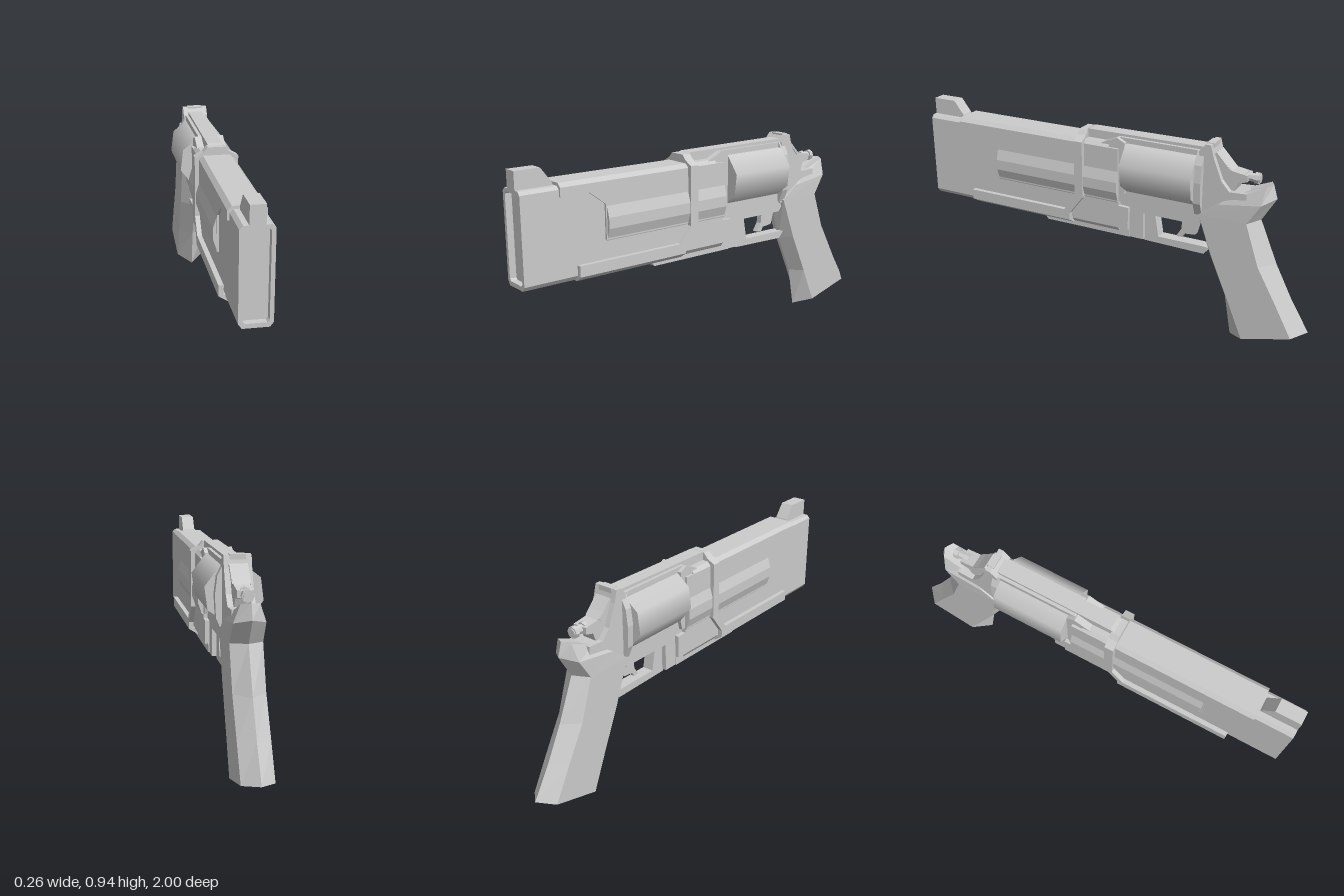
import * as THREE from 'three';

const material = new THREE.MeshStandardMaterial({ color: 0xcccccc, flatShading: true });
const smooth = new THREE.MeshStandardMaterial({ color: 0xcccccc });

export function createModel() {
  const model = new THREE.Group();

  function add(name, geometry, mat = material) {
    const mesh = new THREE.Mesh(geometry, mat);
    mesh.name = name;
    model.add(mesh);
    return mesh;
  }
  const toShape = pts => new THREE.Shape(pts.map(p => new THREE.Vector2(p[0], p[1])));
  const mirrored = half => [...half, ...half.map(([x, y]) => [-x, y]).reverse()];

  // Side profile of [z, y] points, extruded across x from x0 to x1
  function profile(name, pts, x0, x1) {
    const g = new THREE.ExtrudeGeometry(toShape(pts), { depth: x1 - x0, bevelEnabled: false });
    g.rotateY(-Math.PI / 2).translate(x1, 0, 0);
    return add(name, g);
  }
  const centred = (name, pts, w) => profile(name, pts, -w, w);
  function pair(name, pts, x0, x1) {
    profile(name + 'Left', pts, x0, x1);
    profile(name + 'Right', pts, -x1, -x0);
  }
  // Cross-section of [x, y] points, extruded along z from z0 to z1
  function section(name, pts, z0, z1, hole) {
    const shape = toShape(pts);
    if (hole) shape.holes.push(toShape(hole));
    const g = new THREE.ExtrudeGeometry(shape, { depth: z1 - z0, bevelEnabled: false });
    return add(name, g.translate(0, 0, z0));
  }

  // Barrel housing with a tall recessed muzzle
  const barrel = mirrored([[0.055, 0.435], [0.07, 0.455], [0.07, 0.84], [0.055, 0.855]]);
  const bore = mirrored([[0.045, 0.455], [0.053, 0.465], [0.053, 0.83], [0.042, 0.842]]);
  section('barrelHousing', barrel, -0.07, 0.97);
  section('muzzleRim', barrel, 0.97, 1, bore);
  centred('frontSight', [[1, 0.84], [1, 0.935], [0.88, 0.935], [0.83, 0.87], [0.82, 0.84]], 0.032);

  // Raised shell over the barrel
  section('topCover', mirrored([[0.08, 0.81], [0.08, 0.85], [0.062, 0.868]]), -0.02, 0.82);
  pair('sidePanel', [[0.82, 0.85], [0.82, 0.81], [0.68, 0.81], [0.6, 0.75], [0.6, 0.59],
    [-0.07, 0.59], [-0.07, 0.85]], 0.065, 0.08);
  section('sideBulge', mirrored([[0.076, 0.585], [0.095, 0.64], [0.095, 0.69], [0.08, 0.74]]), -0.07, 0.595);

  // Band around the barrel, running forward as lower rails
  pair('bandRail', [[0.15, 0.86], [0.15, 0.58], [0.21, 0.505], [0.75, 0.505], [0.75, 0.455],
    [0.18, 0.455], [0.18, 0.49], [0.107, 0.585], [0.107, 0.86]], 0.078, 0.1);
  section('bandTop', mirrored([[0.1, 0.845], [0.1, 0.86], [0.06, 0.882], [0.04, 0.905]]), 0.107, 0.15);
  section('railBridge', mirrored([[0.058, 0.428], [0.1, 0.455], [0.07, 0.46]]), 0.18, 0.745)
    .scale.y = 1;
  add('railCatch', new THREE.BoxGeometry(0.04, 0.02, 0.06)).position.set(0, 0.434, 0.715);

  // Underside lug, tapered at the front
  centred('underLug', [[0.36, 0.45], [0.33, 0.412], [-0.12, 0.412], [-0.12, 0.45]], 0.055);

  // Frame
  centred('lowerFrame', [[0.1, 0.6], [0.1, 0.45], [-0.12, 0.412], [-0.19, 0.412], [-0.19, 0.545],
    [-0.46, 0.545], [-0.5, 0.6], [-0.46, 0.64], [-0.07, 0.64]], 0.05);
  pair('lowerPanel', [[0.1, 0.575], [0.14, 0.5], [0.14, 0.455], [-0.12, 0.455], [-0.12, 0.565]], 0.04, 0.07);
  centred('frameFront', [[0.02, 0.6], [-0.09, 0.59], [-0.1, 0.63], [-0.1, 0.88], [-0.06, 0.9], [0.02, 0.865]], 0.068);
  centred('topStrap', [[0.14, 0.87], [0.14, 0.9], [0.1, 0.91], [-0.49, 0.915], [-0.49, 0.875], [-0.06, 0.87]], 0.035);
  pair('strapFlange', [[0, 0.86], [-0.07, 0.9], [-0.46, 0.9], [-0.46, 0.87], [-0.1, 0.87]], 0.03, 0.05);
  section('recoilShield', mirrored([[0.06, 0.6], [0.085, 0.66], [0.09, 0.76], [0.08, 0.84], [0.05, 0.9]]), -0.485, -0.45);
  centred('rearFrame', [[-0.46, 0.9], [-0.49, 0.935], [-0.515, 0.935], [-0.53, 0.88], [-0.57, 0.78],
    [-0.61, 0.735], [-0.69, 0.74], [-0.69, 0.64], [-0.46, 0.59]], 0.06);

  // Drum, eight-sided with soft shading
  const drum = new THREE.CylinderGeometry(0.134, 0.134, 0.35, 8);
  drum.rotateX(Math.PI / 2).rotateZ(Math.PI / 12);
  // Cylinder corners fall every 45 degrees, so the turn leaves them 15 degrees off level
  add('drum', drum, smooth).position.set(0, 0.757, -0.277);

  // Rear sight, hammer and spur
  add('rearSight', new THREE.BoxGeometry(0.07, 0.035, 0.035)).position.set(0, 0.92, -0.503);
  centred('hammer', [[-0.51, 0.9], [-0.545, 0.885], [-0.61, 0.825], [-0.68, 0.815], [-0.68, 0.785],
    [-0.64, 0.775], [-0.62, 0.72], [-0.52, 0.72]], 0.035);
  const plate = add('hammerPlate', new THREE.BoxGeometry(0.08, 0.1, 0.012));
  plate.position.set(0, 0.86, -0.565);
  plate.rotation.x = 0.75;
  for (const [r, z, len] of [[0.02, -0.67, 0.12], [0.027, -0.715, 0.02], [0.027, -0.66, 0.02]]) {
    const knob = add('hammerSpur', new THREE.CylinderGeometry(r, r, len, 8).rotateX(Math.PI / 2));
    knob.position.set(0, 0.8, z);
  }

  // Trigger guard and trigger
  centred('triggerGuard', [[-0.17, 0.412], [-0.19, 0.4], [-0.49, 0.395], [-0.52, 0.43], [-0.48, 0.432],
    [-0.26, 0.432], [-0.24, 0.55], [-0.19, 0.55]], 0.028);
  centred('trigger', [[-0.375, 0.55], [-0.37, 0.49], [-0.345, 0.45], [-0.375, 0.45], [-0.385, 0.47],
    [-0.44, 0.475], [-0.46, 0.55]], 0.015);

  // Grip lofted from six-sided rings: front ridge, side front, side back, back ridge as [z, y]
  const rings = [
    { w: 0.07, p: [[-0.63, 0], [-0.71, 0.025], [-0.94, 0.09], [-1, 0.105]] },
    { w: 0.07, p: [[-0.595, 0.195], [-0.637, 0.2], [-0.86, 0.24], [-0.91, 0.255]] },
    { w: 0.07, p: [[-0.51, 0.39], [-0.55, 0.4], [-0.765, 0.41], [-0.83, 0.41]] },
    { w: 0.07, p: [[-0.45, 0.6], [-0.475, 0.605], [-0.7, 0.605], [-0.745, 0.61]] },
    { w: 0.068, p: [[-0.54, 0.66], [-0.56, 0.67], [-0.76, 0.7], [-0.81, 0.72]] },
    { w: 0.04, p: [[-0.64, 0.72], [-0.65, 0.73], [-0.77, 0.78], [-0.79, 0.785]] },
  ];
  const pos = [], idx = [];
  for (const { w, p: [f, a, b, k] } of rings) {
    for (const [x, q] of [[0, f], [w, a], [w, b], [0, k], [-w, b], [-w, a]]) pos.push(x, q[1], q[0]);
  }
  for (let r = 0; r < rings.length - 1; r++) {
    for (let i = 0; i < 6; i++) {
      const a = r * 6 + i, b = r * 6 + (i + 1) % 6;
      idx.push(a, b, b + 6, a, b + 6, a + 6);
    }
  }
  const top = (rings.length - 1) * 6;
  for (let i = 1; i < 5; i++) idx.push(0, i + 1, i, top, top + i, top + i + 1);
  const grip = new THREE.BufferGeometry();
  grip.setAttribute('position', new THREE.Float32BufferAttribute(pos, 3));
  grip.setIndex(idx);
  grip.computeVertexNormals();
  add('grip', grip);

  return model;
}
